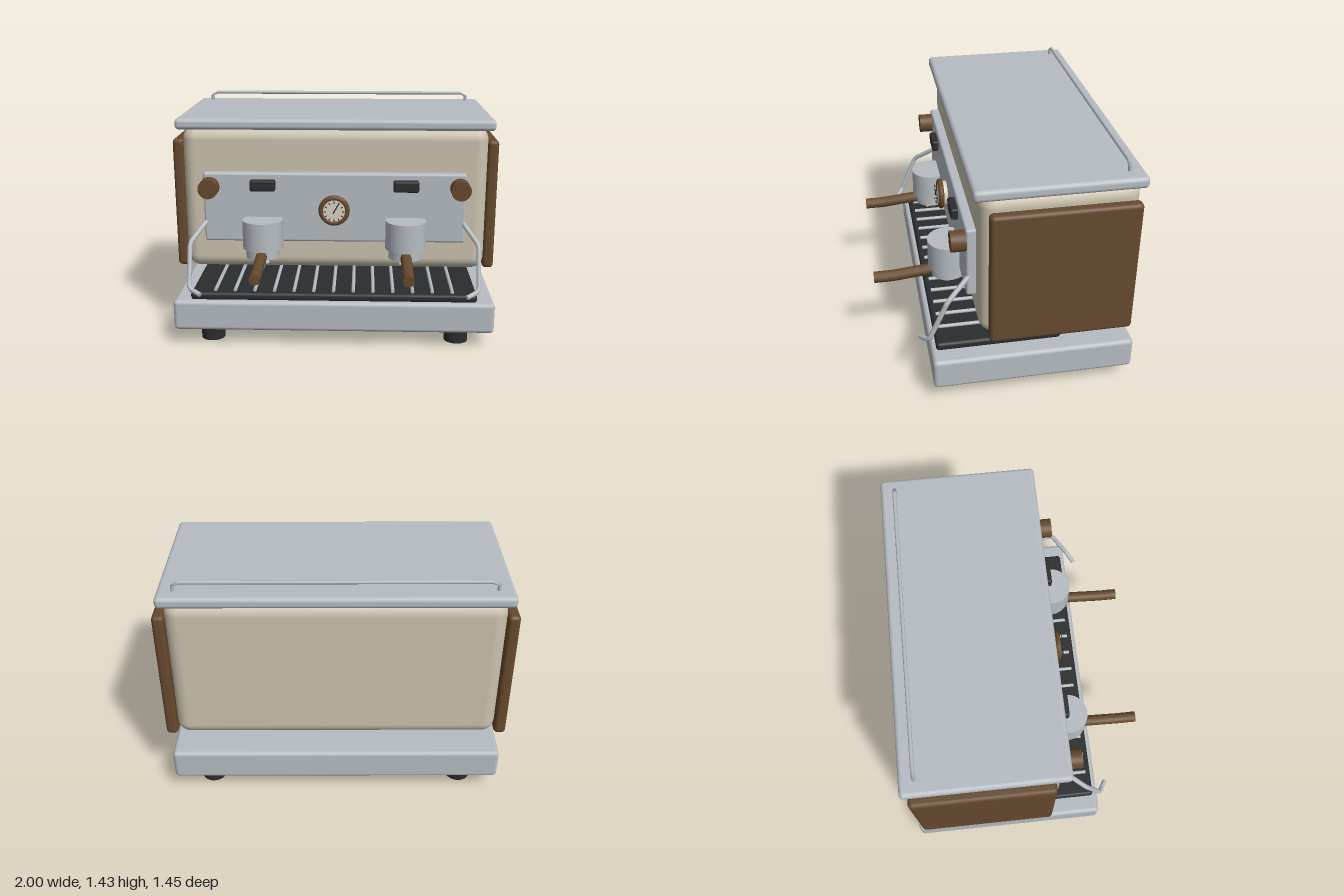
import * as THREE from 'three';
import { RoundedBoxGeometry } from 'three/addons/geometries/RoundedBoxGeometry.js';

const material = (name, color) => {
  const m = new THREE.MeshStandardMaterial({ color });
  m.name = name;
  return m;
};

export function createModel() {
  const steel = material('brushed steel', 0xb6bcc2);
  const cream = material('cream enamel', 0xcbc2ae);
  const wood = material('walnut', 0x66492e);
  const black = material('black rubber', 0x2b2c2d);
  const dial = material('dial ivory', 0xd8d2c0);

  const model = new THREE.Group();
  model.name = 'espressoMachine';

  const add = (name, geometry, mat, x = 0, y = 0, z = 0, parent = model) => {
    const mesh = new THREE.Mesh(geometry, mat);
    mesh.name = name;
    mesh.position.set(x, y, z);
    parent.add(mesh);
    return mesh;
  };
  // Rounded box given by its limits on each axis
  const block = (name, mat, [x0, x1], [y0, y1], [z0, z1], r) =>
    add(name, new RoundedBoxGeometry(x1 - x0, y1 - y0, z1 - z0, 4, r), mat,
      (x0 + x1) / 2, (y0 + y1) / 2, (z0 + z1) / 2);
  // Round bar along straight segments, with tight bends at the corners
  const bar = (name, mat, points, r, parent = model) => {
    const p = points.map((q) => new THREE.Vector3(...q));
    const path = new THREE.CurvePath();
    let from = p[0];
    for (let i = 1; i < p.length - 1; i++) {
      const before = p[i].clone().lerp(p[i - 1], Math.min(0.3, 0.03 / p[i].distanceTo(p[i - 1])));
      const after = p[i].clone().lerp(p[i + 1], Math.min(0.3, 0.03 / p[i].distanceTo(p[i + 1])));
      path.add(new THREE.LineCurve3(from, before));
      path.add(new THREE.QuadraticBezierCurve3(before, p[i], after));
      from = after;
    }
    path.add(new THREE.LineCurve3(from, p[p.length - 1]));
    add(name, new THREE.TubeGeometry(path, 40, r, 12), mat, 0, 0, 0, parent);
    // Flat ends
    for (const [t, s] of [[0, -1], [1, 1]]) {
      const cap = add(name + 'End', new THREE.CircleGeometry(r, 12), mat, 0, 0, 0, parent);
      cap.position.copy(path.getPointAt(t));
      cap.quaternion.setFromUnitVectors(new THREE.Vector3(0, 0, 1), path.getTangentAt(t).multiplyScalar(s));
    }
  };

  // Base, drip tray and feet
  block('base', steel, [-0.975, 0.975], [0.1, 0.29], [-0.725, 0.445], 0.025);
  block('dripTray', black, [-0.87, 0.87], [0.285, 0.335], [-0.315, 0.415], 0.02);
  for (let i = -6; i <= 6; i++) {
    bar('trayBar', steel, [[i * 0.12, 0.345, -0.29], [i * 0.12, 0.345, 0.385]], 0.011);
  }
  for (const x of [-0.76, 0.76]) {
    for (const z of [-0.575, 0.295]) {
      add('foot', new THREE.CylinderGeometry(0.073, 0.073, 0.11, 28), black, x, 0.055, z);
    }
  }

  // Body, wooden sides, top and cup rail
  block('body', cream, [-0.935, 0.935], [0.41, 1.31], [-0.7, 0.172], 0.08);
  block('rightSidePanel', wood, [-1, -0.93], [0.412, 1.228], [-0.69, 0.13], 0.025);
  block('leftSidePanel', wood, [0.93, 1], [0.412, 1.228], [-0.69, 0.13], 0.025);
  block('topTray', steel, [-0.965, 0.965], [1.298, 1.365], [-0.72, 0.212], 0.025);
  bar('cupRail', steel, [[-0.872, 1.35, -0.632], [-0.872, 1.416, -0.632],
    [0.872, 1.416, -0.632], [0.872, 1.35, -0.632]], 0.011);
  block('frontPanel', steel, [-0.8, 0.8], [0.608, 1.04], [0.165, 0.228], 0.015);

  // Pressure gauge
  const gauge = new THREE.Group();
  gauge.name = 'gauge';
  gauge.position.set(0, 0.82, 0);
  model.add(gauge);
  add('gaugeCase', new THREE.CylinderGeometry(0.078, 0.078, 0.055, 40), dial, 0, 0, 0.2525, gauge)
    .rotation.x = Math.PI / 2;
  add('gaugeRing', new THREE.TorusGeometry(0.078, 0.017, 14, 48), wood, 0, 0, 0.267, gauge);
  for (let i = 0; i < 12; i++) {
    const a = (i * Math.PI) / 6;
    add('gaugeTick', new THREE.BoxGeometry(0.005, 0.014, 0.004), black,
      Math.sin(a) * 0.056, Math.cos(a) * 0.056, 0.298, gauge).rotation.z = -a;
  }
  add('gaugeNeedle', new THREE.BoxGeometry(0.007, 0.07, 0.004), black, 0.012, 0.02, 0.298, gauge)
    .rotation.z = -0.52;

  // Parts that repeat on both sides
  for (const s of [-1, 1]) {
    add('knob', new THREE.CylinderGeometry(0.06, 0.06, 0.085, 32), wood, s * 0.76, 0.955, 0.268)
      .rotation.x = Math.PI / 2;
    block('switch', black, [s * 0.435 - 0.077, s * 0.435 + 0.077], [0.933, 1.002], [0.22, 0.27], 0.012);

    bar('steamWand', steel, [[s * 0.785, 0.735, 0.21], [s * 0.872, 0.63, 0.345],
      [s * 0.868, 0.378, 0.455], [s * 0.795, 0.355, 0.5]], 0.0145);

    // Brewing group with its handle and twin spout
    const group = new THREE.Group();
    group.name = 'brewGroup';
    group.position.x = s * 0.435;
    model.add(group);
    add('groupHead', new THREE.CylinderGeometry(0.123, 0.123, 0.175, 40), steel, 0, 0.6775, 0.28, group);
    add('filterBasket', new THREE.CylinderGeometry(0.103, 0.103, 0.06, 36), steel, 0, 0.565, 0.285, group);
    bar('handle', wood, [[0, 0.56, 0.34], [0, 0.557, 0.42], [0, 0.537, 0.62], [0, 0.537, 0.728]], 0.034, group);
    for (const t of [-1, 1]) {
      bar('spout', steel, [[t * 0.008, 0.545, 0.285], [t * 0.03, 0.492, 0.318]], 0.012, group);
    }
  }
  return model;
}
